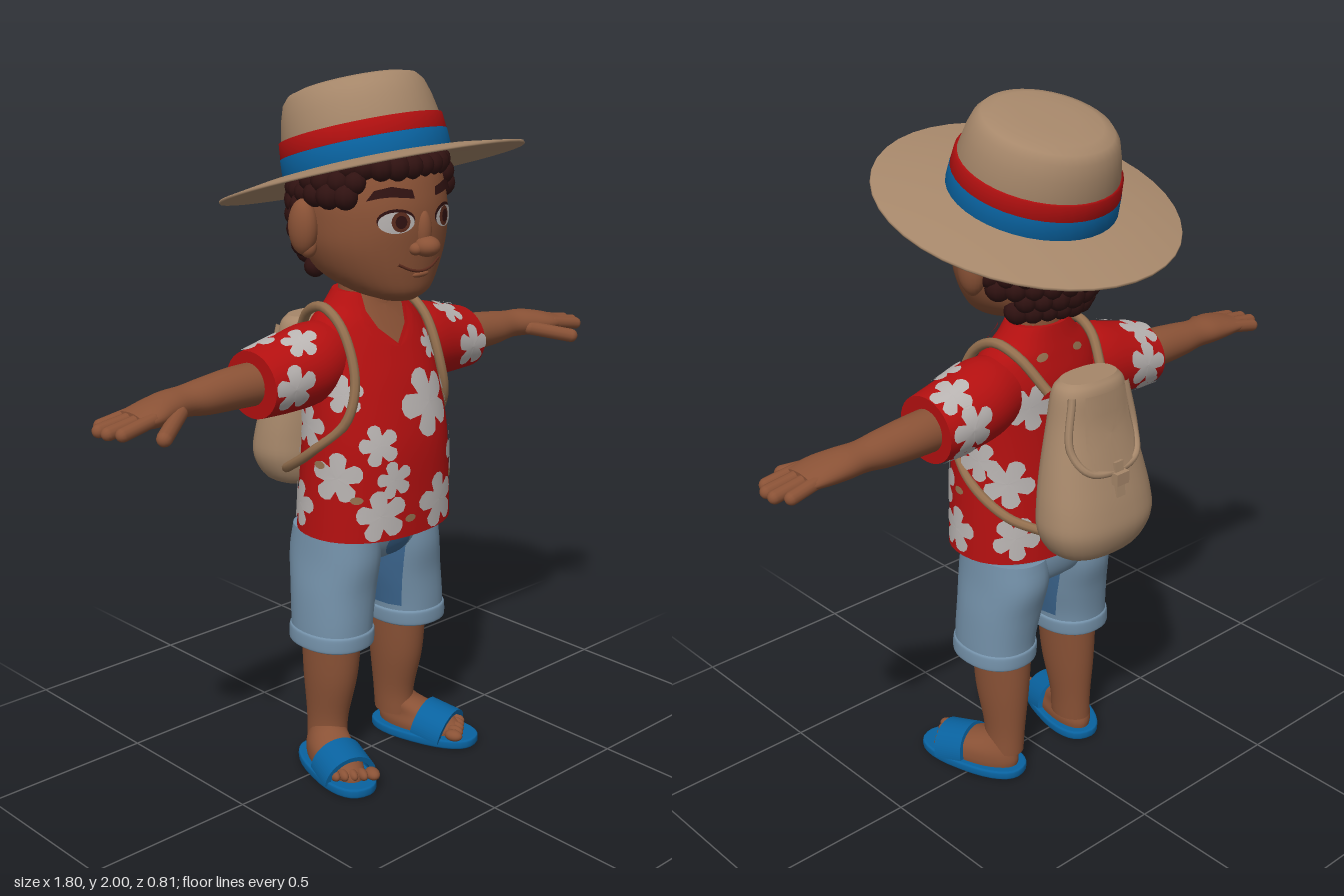
import * as THREE from 'three';
import { mergeGeometries } from 'three/addons/utils/BufferGeometryUtils.js';

const mat = (name, color) => {
  const m = new THREE.MeshStandardMaterial({ color });
  m.name = name;
  return m;
};
const V = (x, y, z) => new THREE.Vector3(x, y, z);
const rad = THREE.MathUtils.degToRad;

// Smooth body through horizontal rings [y, cx, cz, rx, rz], listed upwards; n squares the section.
function loft(rings, n = 2, seg = 32, steps = 5) {
  const mid = new THREE.CatmullRomCurve3(rings.map(r => V(r[1], r[0], r[2])), false, 'catmullrom', 0.5);
  const size = new THREE.CatmullRomCurve3(rings.map(r => V(r[3], 0, r[4])), false, 'catmullrom', 0.5);
  const pw = v => Math.sign(v) * Math.abs(v) ** (2 / n);
  const at = (t, a) => {
    const c = mid.getPoint(t), s = size.getPoint(t);
    return V(c.x + s.x * pw(Math.cos(a)), c.y, c.z + s.z * pw(Math.sin(a)));
  };
  const atY = (y, a) => {
    let lo = 0, hi = 1;
    for (let i = 0; i < 22; i++) {
      const m = (lo + hi) / 2;
      if (mid.getPoint(m).y < y) lo = m; else hi = m;
    }
    return at(lo, a);
  };
  const pos = [], idx = [], rows = (rings.length - 1) * steps;
  for (let i = 0; i <= rows; i++)
    for (let j = 0; j < seg; j++) pos.push(...at(i / rows, j / seg * Math.PI * 2).toArray());
  for (let i = 0; i < rows; i++)
    for (let j = 0; j < seg; j++) {
      const k = (j + 1) % seg, a = i * seg + j, b = a + seg, c = i * seg + k, d = c + seg;
      idx.push(a, b, c, b, d, c);
    }
  for (const t of [0, 1]) {            // flat end caps
    const o = pos.length / 3;
    pos.push(...mid.getPoint(t).toArray());
    for (let j = 0; j < seg; j++) pos.push(...at(t, j / seg * Math.PI * 2).toArray());
    for (let j = 0; j < seg; j++) {
      const p = o + 1 + j, q = o + 1 + (j + 1) % seg;
      if (t) idx.push(o, q, p); else idx.push(o, p, q);
    }
  }
  return { geo: build(pos, idx), atY };
}

function build(pos, idx) {
  const g = new THREE.BufferGeometry();
  g.setAttribute('position', new THREE.Float32BufferAttribute(pos, 3));
  g.setIndex(idx);
  g.computeVertexNormals();
  return g;
}

// Thin painted plate that hugs a loft: counter-clockwise outline [u, v] around height y and angle deg.
function patch(body, y, deg, outline, lift = 0.004) {
  const a0 = rad(deg), span = body.atY(y, a0 + 0.05).distanceTo(body.atY(y, a0 - 0.05)) / 0.1;
  const cu = outline.reduce((s, p) => s + p[0], 0) / outline.length;
  const cv = outline.reduce((s, p) => s + p[1], 0) / outline.length;
  const edge = outline.flatMap((p, i) => {
    const q = outline[(i + 1) % outline.length];
    return [0, 1 / 3, 2 / 3].map(f => [p[0] + (q[0] - p[0]) * f, p[1] + (q[1] - p[1]) * f]);
  });
  const pos = [], idx = [], n = edge.length, rows = 4;
  for (let r = 0; r <= rows; r++)
    for (const [u, v] of edge) {
      const a = a0 + (cu + (u - cu) * r / rows) / span, h = y + cv + (v - cv) * r / rows;
      const p = body.atY(h, a), da = body.atY(h, a + 0.02).sub(body.atY(h, a - 0.02));
      const dy = body.atY(h + 0.004, a).sub(body.atY(h - 0.004, a));
      pos.push(...p.addScaledVector(dy.cross(da).normalize(), lift).toArray());
    }
  for (let r = 0; r < rows; r++)
    for (let j = 0; j < n; j++) {
      const k = (j + 1) % n, a = r * n + j, b = a + n, c = r * n + k, d = c + n;
      idx.push(a, c, b, b, c, d);
    }
  return build(pos, idx);
}
const round = (n, f) => Array.from({ length: n }, (_, i) => f(i / n * Math.PI * 2));
const oval = (rx, ry) => round(20, t => [rx * Math.cos(t), ry * Math.sin(t)]);
const bloom = (s, turn) => round(30, t => {
  const r = s * (0.52 + 0.53 * Math.sqrt(Math.abs(Math.cos(2.5 * t))));
  return [r * Math.cos(t + turn), r * Math.sin(t + turn)];
});

const ball = (x, y, z, rx, ry, rz) => new THREE.SphereGeometry(1, 20, 14).scale(rx, ry, rz).translate(x, y, z);
const tube = (pts, r) => new THREE.TubeGeometry(new THREE.CatmullRomCurve3(pts), 48, r, 8);
function limb(p, q, r) {
  const d = q.clone().sub(p), g = new THREE.CapsuleGeometry(r, d.length(), 5, 12);
  g.applyQuaternion(new THREE.Quaternion().setFromUnitVectors(V(0, 1, 0), d.clone().normalize()));
  const m = p.clone().lerp(q, 0.5);
  return g.translate(m.x, m.y, m.z);
}
function mirror(geo) {
  const g = geo.clone().scale(-1, 1, 1);
  const src = g.index ? Array.from(g.index.array) : [...Array(g.attributes.position.count).keys()];
  for (let i = 0; i < src.length; i += 3) [src[i], src[i + 1]] = [src[i + 1], src[i]];
  g.setIndex(src);
  return g;
}

export function createModel() {
  const sand = mat('sand', 0xa6876a), red = mat('red', 0xb31010), blue = mat('blue', 0x09629f);
  const skin = mat('skin', 0x8a5236), hairM = mat('darkBrown', 0x301211), denim = mat('paleDenim', 0x7390a8);
  const shade = mat('denimShade', 0x3c668f), white = mat('white', 0xb8b3b1), tan = mat('tan', 0x94704f);
  const lipM = mat('lipBrown', 0x5c2c1e);
  const model = new THREE.Group();
  const part = (name, geo, m, parent = model) => {
    const mesh = new THREE.Mesh(geo, m);
    mesh.name = name;
    parent.add(mesh);
  };
  const pair = (name, geo, m) => {
    part(name + 'Left', geo, m);
    part(name + 'Right', mirror(geo), m);
  };

  // Straw hat, tipped back
  const hat = new THREE.Group();
  hat.name = 'hat';
  hat.position.set(0, 1.72, 0);
  hat.rotation.x = -0.285;
  model.add(hat);
  const lathe = pts => new THREE.LatheGeometry(pts.map(p => new THREE.Vector2(...p)), 40);
  part('hatBrim', lathe([[0.18, 0.022], [0.3, 0.016], [0.418, -0.004], [0.42, 0], [0.418, 0.004], [0.3, 0.024], [0.2, 0.034]]), sand, hat);
  const crown = [[0.225, 0.02], [0.217, 0.13], [0.207, 0.18], [0.194, 0.22], [0.176, 0.241], [0.145, 0.25], [0.08, 0.254], [0, 0.254]];
  part('hatCrown', lathe(crown).translate(0, 0, -0.01), sand, hat);
  part('hatBandBlue', lathe([[0.224, 0.025], [0.233, 0.028], [0.23, 0.08], [0.22, 0.081]]).translate(0, 0, -0.01), blue, hat);
  part('hatBandRed', lathe([[0.22, 0.08], [0.229, 0.081], [0.225, 0.124], [0.216, 0.126]]).translate(0, 0, -0.01), red, hat);

  // Head and face
  const head = loft([[1.395, 0, 0.1, 0.05, 0.05], [1.42, 0, 0.065, 0.11, 0.115], [1.47, 0, 0.02, 0.165, 0.172],
    [1.54, 0, 0.01, 0.198, 0.19], [1.61, 0, 0.005, 0.207, 0.2], [1.68, 0, 0, 0.204, 0.198], [1.76, 0, 0, 0.18, 0.172], [1.81, 0, 0, 0.12, 0.12]]);
  part('head', head.geo, skin);
  part('neck', new THREE.CylinderGeometry(0.074, 0.08, 0.18, 24).translate(0, 1.38, -0.025), skin);
  part('noseTip', ball(0, 1.55, 0.212, 0.036, 0.028, 0.038), skin);
  part('noseBridge', ball(0, 1.59, 0.198, 0.024, 0.055, 0.022), skin);
  pair('nostril', ball(0.03, 1.545, 0.201, 0.019, 0.017, 0.02), skin);
  pair('ear', ball(0.222, 1.598, -0.03, 0.036, 0.075, 0.045), skin);
  pair('earLobe', ball(0.214, 1.545, -0.02, 0.022, 0.03, 0.026), skin);
  pair('lash', patch(head, 1.624, 65, oval(0.054, 0.031), 0.003), hairM);
  pair('eyeWhite', patch(head, 1.619, 65, oval(0.051, 0.028), 0.005), white);
  pair('iris', patch(head, 1.621, 68, oval(0.026, 0.026), 0.007), lipM);
  pair('pupil', patch(head, 1.621, 68, oval(0.016, 0.017), 0.009), hairM);
  pair('eyebrow', patch(head, 1.69, 62, [[0.062, -0.012], [0.058, 0.01], [0, 0.021], [-0.045, 0.012], [-0.066, -0.014], [-0.03, -0.007], [0, -0.005]], 0.009), hairM);
  part('mouth', tube([66, 78, 90, 102, 114].map((a, i) => head.atY(1.482 + 0.006 * (i - 2) ** 2, rad(a))), 0.004), lipM);
  part('lowerLip', ball(0, 1.472, 0.183, 0.035, 0.01, 0.014), skin);

  // Curly hair in rows of small curls around the skull
  const curls = [];
  for (let row = 0; row < 9; row++)
    for (let j = 0; j < 26; j++) {
      const y = 1.47 + row * 0.036, a = (j + (row % 2) / 2) / 26 * Math.PI * 2, s = Math.sin(a);
      const low = s > 0.6 ? 1.74 : s > -0.25 ? 1.67 : s > -0.6 ? 1.53 : 1.46;
      const p = head.atY(y, a);
      if (y >= low && y - 0.29 * p.z < 1.735)
        curls.push(new THREE.SphereGeometry(0.034 + 0.003 * Math.sin(row * 7 + j * 5), 10, 8).translate(p.x, p.y, p.z));
    }
  part('hair', mergeGeometries(curls), hairM);

  // Shirt with open neck
  const torso = loft([[0.735, 0, 0.01, 0.238, 0.18], [0.85, 0, 0.012, 0.231, 0.178], [1, 0, 0.014, 0.222, 0.17], [1.15, 0, 0, 0.213, 0.148],
    [1.25, 0, -0.02, 0.205, 0.128], [1.32, 0, -0.03, 0.178, 0.103], [1.365, 0, -0.035, 0.125, 0.086], [1.405, 0, -0.035, 0.09, 0.076]], 2.2, 40);
  part('shirtBody', torso.geo, red);
  part('neckOpening', patch(torso, 1.34, 90, [[0, -0.075], [0.15, 0.062], [0, 0.062], [-0.15, 0.062]], 0.005), skin);
  pair('lapel', patch(torso, 1.34, 90, [[-0.2, 0.045], [-0.07, -0.06], [0, -0.085], [-0.15, 0.06]], 0.0095), red);
  const blooms = [[74, 1.1, 0.092], [122, 1.01, 0.056], [110, 0.91, 0.052], [120, 0.81, 0.072], [70, 0.815, 0.078], [34, 0.93, 0.072],
    [25, 1.12, 0.065], [148, 1.15, 0.052], [158, 0.92, 0.07], [52, 1.24, 0.04], [8, 0.81, 0.065], [190, 1.05, 0.06], [200, 0.82, 0.065],
    [228, 0.97, 0.065], [240, 1.2, 0.06], [262, 0.82, 0.06], [275, 1.05, 0.065], [300, 1.2, 0.065], [318, 0.98, 0.07], [312, 0.815, 0.065], [345, 1.04, 0.058]];
  part('shirtFlowers', mergeGeometries(blooms.map(([a, y, s], i) => patch(torso, y, a, bloom(s, i * 1.3)))), white);
  const specks = [[97, 0.79], [48, 0.87], [140, 0.86], [5, 0.93], [175, 0.95], [250, 1.33], [290, 1.33]];
  part('shirtSpecks', mergeGeometries(specks.map(([a, y]) => patch(torso, y, a, oval(0.018, 0.011)))), tan);

  // Sleeves, arms and hands, built upright then laid out sideways
  const out = g => g.rotateZ(-Math.PI / 2);
  const sleeve = loft([[0.1, -1.235, -0.03, 0.09, 0.085], [0.2, -1.222, -0.033, 0.112, 0.11], [0.3, -1.206, -0.038, 0.105, 0.11], [0.4, -1.194, -0.042, 0.092, 0.104]]);
  const sleeveBlooms = [[85, 0.34, 0.062], [150, 0.28, 0.05], [205, 0.345, 0.058], [268, 0.325, 0.065], [320, 0.35, 0.05]];
  pair('sleeve', out(sleeve.geo), red);
  pair('sleeveFlowers', out(mergeGeometries(sleeveBlooms.map(([a, y, s], i) => patch(sleeve, y, a, bloom(s, i))))), white);
  pair('arm', out(loft([[0.34, -1.195, -0.045, 0.06, 0.062], [0.45, -1.195, -0.05, 0.057, 0.06], [0.55, -1.192, -0.05, 0.05, 0.055],
    [0.62, -1.192, -0.05, 0.041, 0.049], [0.68, -1.19, -0.045, 0.04, 0.058], [0.74, -1.185, -0.035, 0.034, 0.066], [0.8, -1.18, -0.033, 0.022, 0.062]]).geo), skin);
  [[-0.082, 0.855], [-0.049, 0.882], [-0.013, 0.88], [0.02, 0.86]].forEach(([z, x], i) =>
    pair('finger' + (i + 1), limb(V(0.76, 1.185, z * 0.85 - 0.005), V(x, 1.168, z), 0.0185), skin));
  pair('thumb', limb(V(0.67, 1.18, 0), V(0.775, 1.152, 0.075), 0.021), skin);

  // Shorts
  const seat = loft([[0.625, 0, -0.03, 0.12, 0.08], [0.66, 0, -0.028, 0.2, 0.122], [0.72, 0, -0.022, 0.217, 0.143], [0.79, 0, -0.01, 0.215, 0.145]], 2.2);
  part('shortsSeat', seat.geo, denim);
  part('shortsFrontShade', patch(seat, 0.685, 90, oval(0.05, 0.04), 0.003), shade);
  const shortLeg = loft([[0.4, 0.145, -0.015, 0.103, 0.123], [0.47, 0.141, -0.016, 0.105, 0.125], [0.56, 0.13, -0.022, 0.109, 0.132], [0.65, 0.119, -0.027, 0.106, 0.147], [0.73, 0.112, -0.025, 0.104, 0.14]], 2.2);
  pair('shortsLeg', shortLeg.geo, denim);
  pair('shortsInnerShade', patch(shortLeg, 0.56, 178, [[-0.15, 0.12], [-0.11, -0.1], [0.08, -0.1], [0.11, 0.12]], 0.003), shade);
  pair('shortsCuff', loft([[0.395, 0.145, -0.015, 0.104, 0.124], [0.402, 0.145, -0.015, 0.109, 0.129], [0.435, 0.143, -0.015, 0.109, 0.129], [0.443, 0.143, -0.015, 0.104, 0.124]], 2.2).geo, denim);

  // Legs, feet and sandals
  pair('leg', loft([[0.07, 0.138, -0.045, 0.052, 0.066], [0.15, 0.135, -0.045, 0.055, 0.069], [0.28, 0.133, -0.034, 0.07, 0.089], [0.43, 0.13, -0.03, 0.08, 0.098]]).geo, skin);
  const place = g => g.rotateY(0.28).translate(0.157, 0, -0.038);
  pair('foot', place(loft([[0.02, 0, 0.075, 0.062, 0.14], [0.045, 0, 0.07, 0.064, 0.138], [0.075, 0, 0.05, 0.058, 0.112], [0.11, -0.012, 0.006, 0.048, 0.065], [0.14, -0.02, -0.008, 0.04, 0.05]]).geo), skin);
  [-0.05, -0.022, 0.004, 0.028, 0.05].forEach((x, i) =>
    pair('toe' + (i + 1), place(ball(x, 0.043, 0.212 - i * 0.011, i ? 0.014 : 0.02, 0.017, 0.028)), skin));
  pair('sandalSole', place(loft([[0, 0, 0.085, 0.076, 0.168], [0.006, 0, 0.085, 0.082, 0.174], [0.024, 0, 0.085, 0.082, 0.174], [0.028, 0, 0.085, 0.076, 0.168]], 2.4).geo), blue);
  const arch = new THREE.Shape().absellipse(0, 0, 0.082, 0.08, 0, Math.PI, false, 0);
  arch.absellipse(0, 0, 0.066, 0.066, Math.PI, 0, true, 0);
  const strapGeo = new THREE.ExtrudeGeometry(arch, { depth: 0.095, bevelEnabled: false, curveSegments: 20 });
  pair('sandalStrap', place(strapGeo.rotateX(0.2).translate(0, 0.034, 0.08)), blue);

  // Backpack
  const pack = loft([[0.79, 0, -0.27, 0.075, 0.05], [0.815, 0, -0.27, 0.14, 0.09], [0.88, 0, -0.272, 0.178, 0.113], [0.95, 0, -0.267, 0.178, 0.11],
    [1.05, 0, -0.254, 0.16, 0.097], [1.18, 0, -0.24, 0.13, 0.076], [1.27, 0, -0.238, 0.113, 0.067], [1.3, 0, -0.238, 0.09, 0.05]], 2.4);
  part('backpack', pack.geo, sand);
  const flap = [[0.13, 0.1], [0, 0.1], [-0.13, 0.1], [-0.125, -0.04], [-0.07, -0.1], [0, -0.115], [0.07, -0.1], [0.125, -0.04]];
  part('backpackFlap', patch(pack, 1.17, 270, flap, 0.0095), sand);
  const rim = flap.slice(2).concat([flap[0]]).map(([u, v]) => pack.atY(1.17 + v, rad(270) + u / 0.13));
  part('backpackFlapRim', tube(rim, 0.011), sand);
  part('backpackTab', new THREE.BoxGeometry(0.03, 0.1, 0.012).rotateX(0.12).translate(0, 1.035, -0.361), sand);
  part('backpackBuckle', new THREE.BoxGeometry(0.045, 0.035, 0.022).translate(0, 1.04, -0.367), sand);
  pair('backpackStrap', tube([[0.1, 1.26, -0.19], [0.135, 1.345, -0.11], [0.15, 1.368, -0.03], [0.156, 1.32, 0.05], [0.163, 1.19, 0.107],
    [0.188, 1.08, 0.1], [0.225, 0.98, 0], [0.2, 0.9, -0.13], [0.13, 0.86, -0.22]].map(p => V(...p)), 0.014), tan);
  return model;
}
